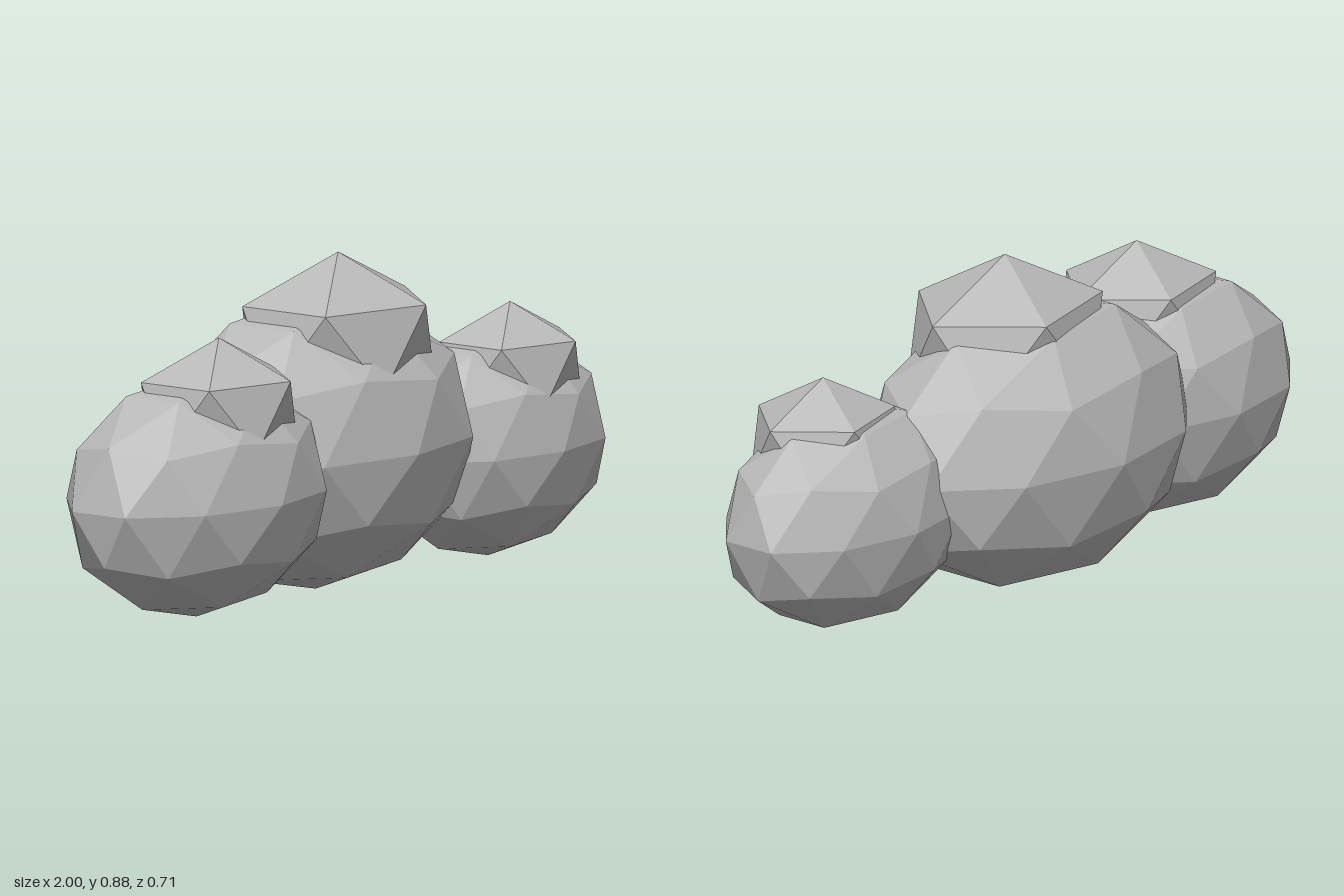
import * as THREE from 'three';

const stone = new THREE.MeshStandardMaterial({ color: 0xb8b8b8, flatShading: true });
stone.name = 'stone grey';

// Faceted ball with a corner at the top, stretched to the given radii
function facetedBall(name, detail, [rx, ry, rz], [x, y, z]) {
  const geometry = new THREE.IcosahedronGeometry(1, detail);
  geometry.rotateZ(-Math.atan(2 / (1 + Math.sqrt(5))));
  geometry.scale(rx, ry, rz);
  geometry.computeVertexNormals();
  const mesh = new THREE.Mesh(geometry, stone);
  mesh.name = name;
  mesh.position.set(x, y, z);
  return mesh;
}

// Each boulder carries a smaller, coarser cap sunk into its top
const boulders = [
  { name: 'middle', size: [0.527, 0.386, 0.338], at: [0.017, 0.388, -0.017],
    capSize: [0.313, 0.231, 0.26], capAt: [0.052, 0.654, 0.029] },
  { name: 'right', size: [0.431, 0.32, 0.282], at: [-0.59, 0.34, 0.07],
    capSize: [0.252, 0.19, 0.213], capAt: [-0.553, 0.56, 0.114] },
  { name: 'left', size: [0.394, 0.298, 0.252], at: [0.625, 0.315, 0.07],
    capSize: [0.229, 0.174, 0.195], capAt: [0.66, 0.509, 0.115] },
];

export function createModel() {
  const model = new THREE.Group();
  model.name = 'boulders';
  for (const b of boulders) {
    const group = new THREE.Group();
    group.name = `${b.name}Boulder`;
    group.add(
      facetedBall(`${b.name}Rock`, 1, b.size, b.at),
      facetedBall(`${b.name}Cap`, 0, b.capSize, b.capAt),
    );
    model.add(group);
  }
  return model;
}
